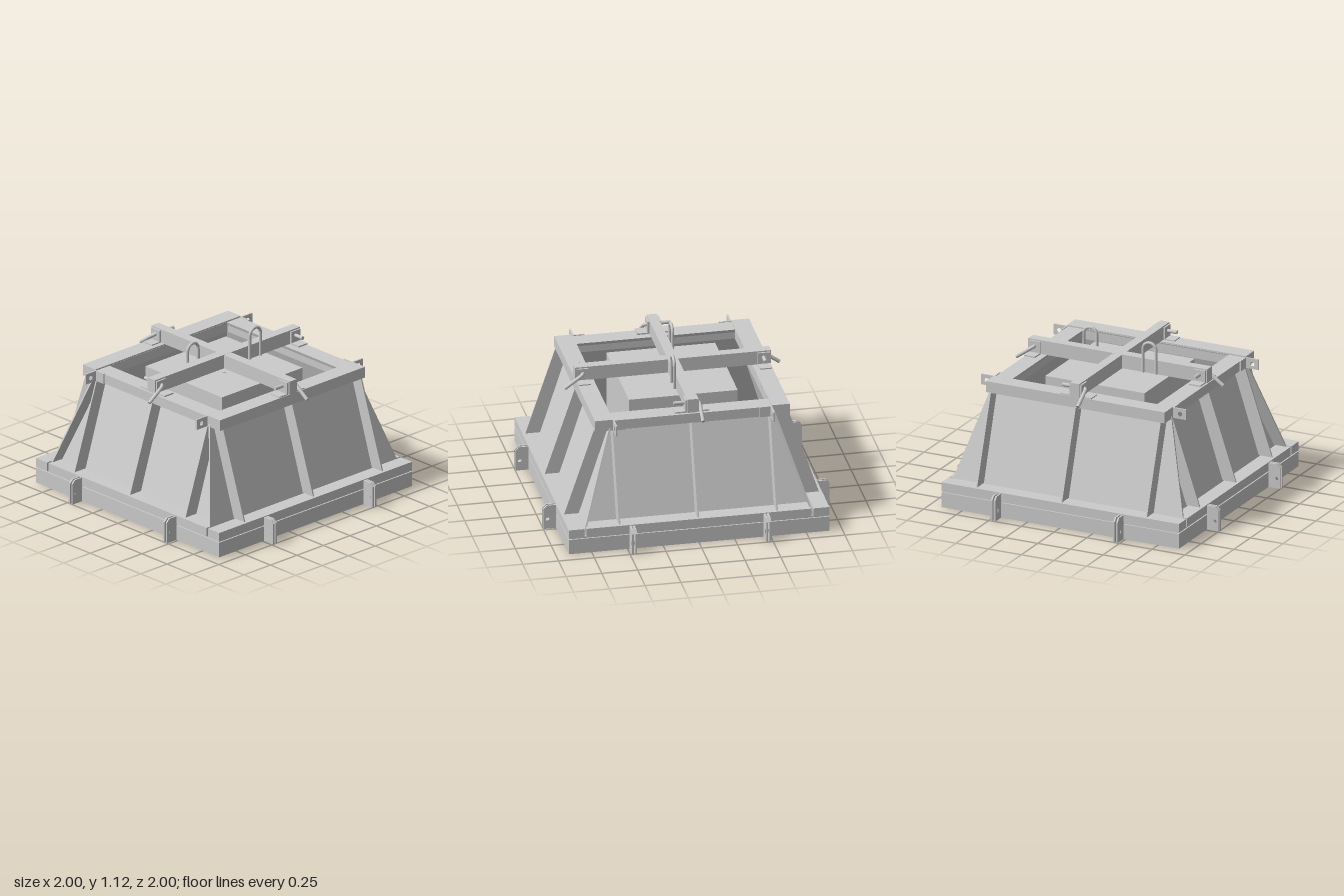
import * as THREE from 'three';
import { ConvexGeometry } from 'three/addons/geometries/ConvexGeometry.js';

const steel = new THREE.MeshStandardMaterial({ color: 0xcccccc, flatShading: true });
const rodMat = new THREE.MeshStandardMaterial({ color: 0xcccccc, side: THREE.DoubleSide });
const V = (x, y, z) => new THREE.Vector3(x, y, z);

function add(parent, name, geometry, material = steel) {
  const mesh = new THREE.Mesh(geometry, material);
  mesh.name = name;
  parent.add(mesh);
  return mesh;
}

// Box given by its minimum and maximum on each axis
function box(parent, name, x0, x1, y0, y1, z0, z1) {
  const mesh = add(parent, name, new THREE.BoxGeometry(x1 - x0, y1 - y0, z1 - z0));
  mesh.position.set((x0 + x1) / 2, (y0 + y1) / 2, (z0 + z1) / 2);
  return mesh;
}

// Sloping wall facing +z: half widths w, outer distances d, at heights y
function slopingWall(parent, name, y, w, d, t) {
  const pts = [];
  for (const i of [0, 1]) for (const s of [-1, 1]) {
    pts.push(V(s * w[i], y[i], d[i]), V(s * w[i], y[i], d[i] - t));
  }
  return add(parent, name, new ConvexGeometry(pts));
}

// Thin plate in the plane x = const; points are [z, y], with an optional hole
function plate(parent, name, x, t, points, hole) {
  const shape = new THREE.Shape(points.map(([z, y]) => new THREE.Vector2(-z, y)));
  if (hole) {
    const path = new THREE.Path();
    path.absarc(-hole[0], hole[1], hole[2], 0, Math.PI * 2, true);
    shape.holes.push(path);
  }
  const geo = new THREE.ExtrudeGeometry(shape, { depth: t, bevelEnabled: false, curveSegments: 10 });
  geo.translate(0, 0, -t / 2).rotateY(Math.PI / 2);
  return add(parent, name, geo).position.x = x;
}

// Round bar along a path, with closed ends
function rod(parent, name, curve, r, segments) {
  add(parent, name, new THREE.TubeGeometry(curve, segments, r, 10), rodMat);
  for (const u of [0, 1]) {
    const cap = add(parent, name + 'End', new THREE.CircleGeometry(r, 10), rodMat);
    cap.position.copy(curve.getPointAt(u));
    cap.lookAt(cap.position.clone().add(curve.getTangentAt(u)));
  }
}

// Everything that sits on one side of the mould, built facing +z
function buildSide(isEnd) {
  const g = new THREE.Group();
  g.name = isEnd ? 'endSide' : 'sideWall';

  // Base frame, with an upper rail above a narrow seam
  const len = isEnd ? 0.88 : 0.91;
  box(g, 'baseRail', -len, len, 0, 0.108, 0.88, 0.91);
  const upper = isEnd ? 0.785 : 0.91;
  box(g, 'upperRail', -upper, upper, 0.116, 0.18, 0.8, 0.91);

  // Sloping panel; the side walls run past the end walls as flanges
  if (isEnd) slopingWall(g, 'endPanel', [0.11, 0.87], [0.81, 0.55], [0.81, 0.565], 0.012);
  else slopingWall(g, 'sidePanel', [0.11, 0.87], [0.9, 0.67], [0.81, 0.565], 0.012);

  // Stiffening ribs
  const ribX = isEnd ? 0.55 : 0.65;
  for (const x of [-ribX, 0, ribX]) {
    plate(g, 'rib', x, 0.01, [[0.78, 0.18], [0.89, 0.18], [0.68, 0.805], [0.575, 0.805]]);
  }

  // Top rail
  if (isEnd) box(g, 'topRail', -0.56, 0.56, 0.8, 0.87, 0.56, 0.68);
  else box(g, 'topRail', -0.685, 0.685, 0.8, 0.88, 0.555, 0.68);

  for (const s of [-1, 1]) {
    // Paired clamping lugs on the base
    for (const x of [0.457, 0.48]) {
      plate(g, 'baseLug', s * x, 0.012,
        [[0.905, 0], [1, 0], [1, 0.15], [0.975, 0.175], [0.905, 0.175]], [0.967, 0.067, 0.016]);
    }
    box(g, 'lugWeb', s * 0.468 - 0.012, s * 0.468 + 0.012, 0.02, 0.17, 0.905, 0.918);
    // Angle lugs on the top frame
    if (isEnd) {
      plate(g, 'topLug', s * 0.55, 0.012,
        [[0.68, 0.8], [0.785, 0.8], [0.785, 0.875], [0.68, 0.875]], [0.74, 0.836, 0.016]);
      const mid = s * 0.51;
      box(g, 'topLugFoot', mid - 0.04, mid + 0.04, 0.8, 0.875, 0.68, 0.69);
    }
    // Beam seat brackets
    const c = s * 0.078;
    box(g, 'beamSeat', c - 0.042, c + 0.042, 0.878, 0.888, 0.59, 0.675);
    box(g, 'beamCheek', s * 0.041 - 0.006, s * 0.041 + 0.006, 0.885, 0.97, 0.59, 0.675);
  }

  // Bent locking pin through the beam end
  const pin = new THREE.CurvePath();
  const a = V(-0.12, 0.936, 0.63), b = V(0.035, 0.936, 0.63);
  const bend = V(0.06, 0.936, 0.63), c = V(0.06, 0.92, 0.652), d = V(0.06, 0.842, 0.762);
  pin.add(new THREE.LineCurve3(a, b));
  pin.add(new THREE.QuadraticBezierCurve3(b, bend, c));
  pin.add(new THREE.LineCurve3(c, d));
  rod(g, 'lockingPin', pin, 0.013, 36);
  return g;
}

export function createModel() {
  const model = new THREE.Group();
  model.name = 'castingMould';

  // Four sides
  for (let i = 0; i < 4; i++) {
    const side = buildSide(i % 2 === 0);
    side.rotation.y = i * Math.PI / 2;
    model.add(side);
  }

  // Floor and the joists under it
  box(model, 'floor', -0.9, 0.9, 0.1, 0.118, -0.9, 0.9);
  for (const x of [-0.3, 0.3]) box(model, 'joist', x - 0.03, x + 0.03, 0, 0.105, -0.885, 0.885);

  // Central core with a small vent on top
  box(model, 'core', -0.38, 0.38, 0.115, 0.87, -0.38, 0.38);
  const vent = add(model, 'vent', new THREE.CylinderGeometry(0.015, 0.015, 0.01, 16));
  vent.position.set(0.065, 0.869, 0.065);

  // Crossed beams
  box(model, 'longBeam', -0.035, 0.035, 0.88, 0.98, -0.685, 0.685);
  box(model, 'crossBeam', -0.685, 0.685, 0.88, 0.979, -0.034, 0.034);

  // Lifting loops welded to opposite faces of the long beam
  for (const s of [-1, 1]) {
    const loop = new THREE.CurvePath();
    const x = -s * 0.046, z = s * 0.25, r = 0.05, y = 1.055;
    const arc = [];
    for (let i = 0; i <= 12; i++) {
      const t = Math.PI * i / 12;
      arc.push(V(x, y + r * Math.sin(t), z - r * Math.cos(t)));
    }
    loop.add(new THREE.LineCurve3(V(x, 0.885, z - r), arc[0]));
    loop.add(new THREE.CatmullRomCurve3(arc));
    loop.add(new THREE.LineCurve3(arc[12], V(x, 0.885, z + r)));
    rod(model, 'liftingLoop', loop, 0.011, 48);
  }
  return model;
}
